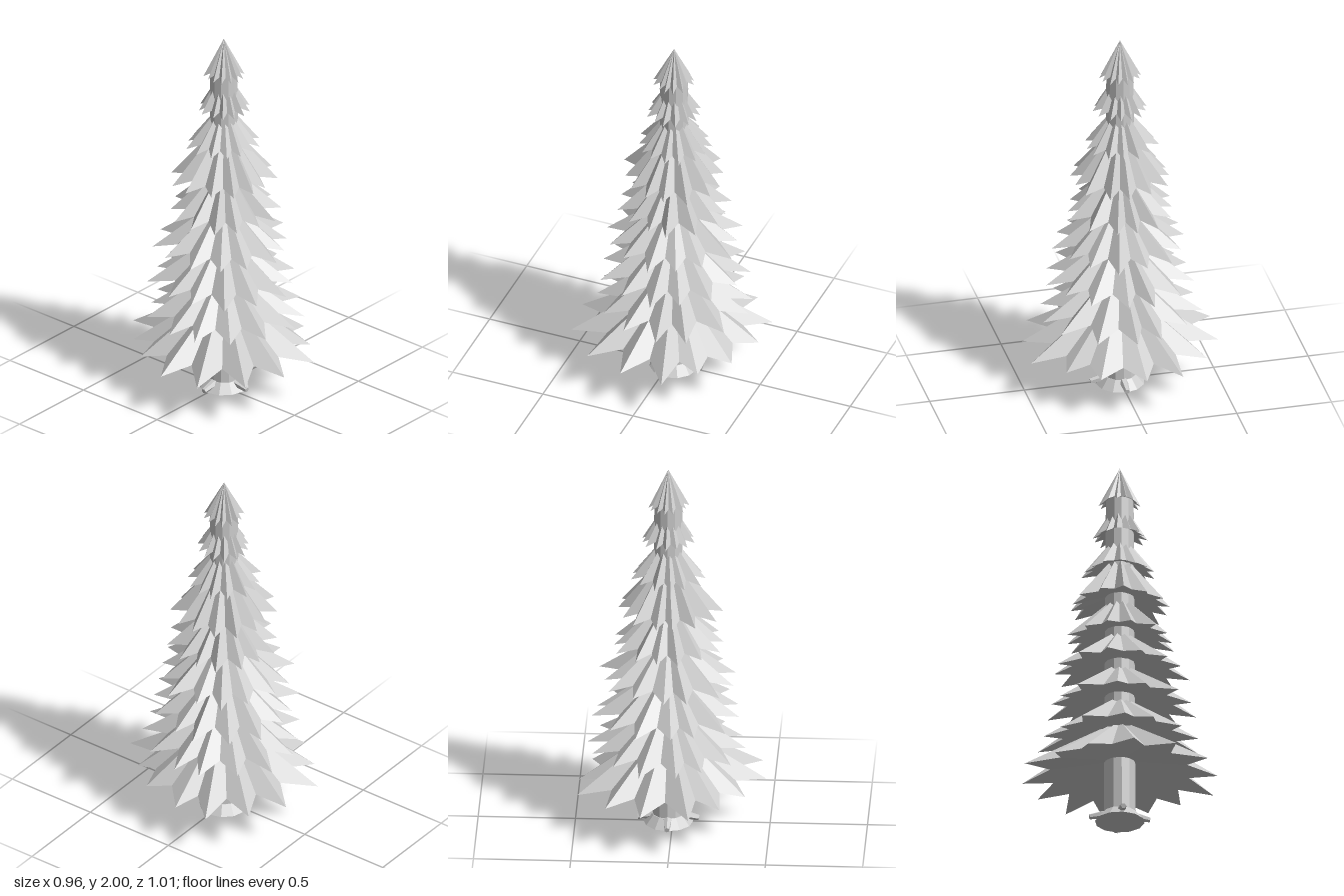
import * as THREE from 'three';

const AXIS_X = 0.023; // the trunk stands slightly off the centre of the boughs
const NOTCH = 0.72; // notch radius as a share of the reach

// Small seeded generator, -1..1
let seed = 7;
function jitter() {
  seed = (seed * 16807) % 2147483647;
  return (seed / 2147483647) * 2 - 1;
}

// Pleated star-shaped cone: ridges run to the tips, valleys to the notches
function boughGeometry(rim, apexY, innerY) {
  const apex = [0, apexY, 0], inner = [0, innerY, 0], pos = [];
  rim.forEach((p, i) => {
    const q = rim[(i + 1) % rim.length];
    pos.push(...apex, ...q, ...p); // upper face
    pos.push(...inner, ...p, ...q); // hollowed underside
  });
  const g = new THREE.BufferGeometry();
  g.setAttribute('position', new THREE.Float32BufferAttribute(pos, 3));
  g.computeVertexNormals();
  return g;
}

export function createModel() {
  const group = new THREE.Group();
  const grey = new THREE.MeshStandardMaterial({ color: 0xcccccc, flatShading: true });
  grey.name = 'plain grey';

  const tree = new THREE.Group();
  tree.name = 'tree';
  tree.position.x = AXIS_X;
  group.add(tree);
  const add = (name, geometry, parent = tree) => {
    const m = new THREE.Mesh(geometry, grey);
    m.name = name;
    parent.add(m);
    return m;
  };

  // Trunk
  add('trunk', new THREE.CylinderGeometry(0.072, 0.083, 1.79, 12)).position.y = 0.915;

  // Flared foot and four stubby roots
  add('trunkFoot', new THREE.CylinderGeometry(0.086, 0.128, 0.05, 12)).position.y = 0.025;
  const roots = new THREE.Group();
  roots.name = 'roots';
  tree.add(roots);
  const up = new THREE.Vector3(0, 1, 0);
  for (let i = 0; i < 4; i++) {
    const a = (i / 4) * Math.PI * 2;
    const from = new THREE.Vector3(Math.cos(a) * 0.07, 0.038, Math.sin(a) * 0.07);
    const to = new THREE.Vector3(Math.cos(a) * 0.157, 0.02, Math.sin(a) * 0.157);
    const dir = to.clone().sub(from);
    const root = add('root', new THREE.CylinderGeometry(0.014, 0.024, dir.length(), 6), roots);
    root.position.copy(from).add(to).multiplyScalar(0.5);
    root.quaternion.setFromUnitVectors(up, dir.normalize());
  }

  // Lowest bough: tip angles (degrees from +x towards +z) and reaches
  const tipAngles = [-4, 26.3, 51.9, 75, 101, 126.7, 154, 178.8, 207.8, 233, 256, 284, 308.3, 334.1];
  const lowReach = [0.458, 0.446, 0.443, 0.52, 0.504, 0.52, 0.53, 0.505, 0.458, 0.465, 0.523, 0.504, 0.493, 0.508];

  // Boughs from bottom to top: tip height, reach, apex height
  const boughs = [
    [0.243, 0.5, 0.575], [0.435, 0.405, 0.715], [0.628, 0.38, 0.9],
    [0.823, 0.35, 1.09], [1.012, 0.28, 1.29], [1.205, 0.268, 1.53],
    [1.395, 0.19, 1.64], [1.598, 0.136, 1.83], [1.79, 0.102, 2.0],
  ];
  boughs.forEach(([y, reach, apexY], level) => {
    const hollow = 0.06 + 0.09 * reach;
    // each bough repeats the one below, turned a little further round
    const tips = tipAngles.map((base, i) => {
      const deg = base + level * 5.5 + (level ? jitter() * 2.5 : 0);
      const r = level ? reach * (1 + jitter() * 0.07) : lowReach[i];
      return { a: (deg * Math.PI) / 180, r, y: y + jitter() * 0.004 };
    });
    const rim = [];
    tips.forEach((t, i) => {
      const n = tips[(i + 1) % tips.length];
      const next = n.a < t.a ? n.a + Math.PI * 2 : n.a;
      const a = (t.a + next) / 2, r = reach * NOTCH;
      rim.push([Math.cos(t.a) * t.r, t.y, Math.sin(t.a) * t.r]);
      rim.push([Math.cos(a) * r, y + hollow * (1 - NOTCH) + 0.003, Math.sin(a) * r]);
    });
    add('bough' + (level + 1), boughGeometry(rim, apexY, y + hollow));
  });

  return group;
}
